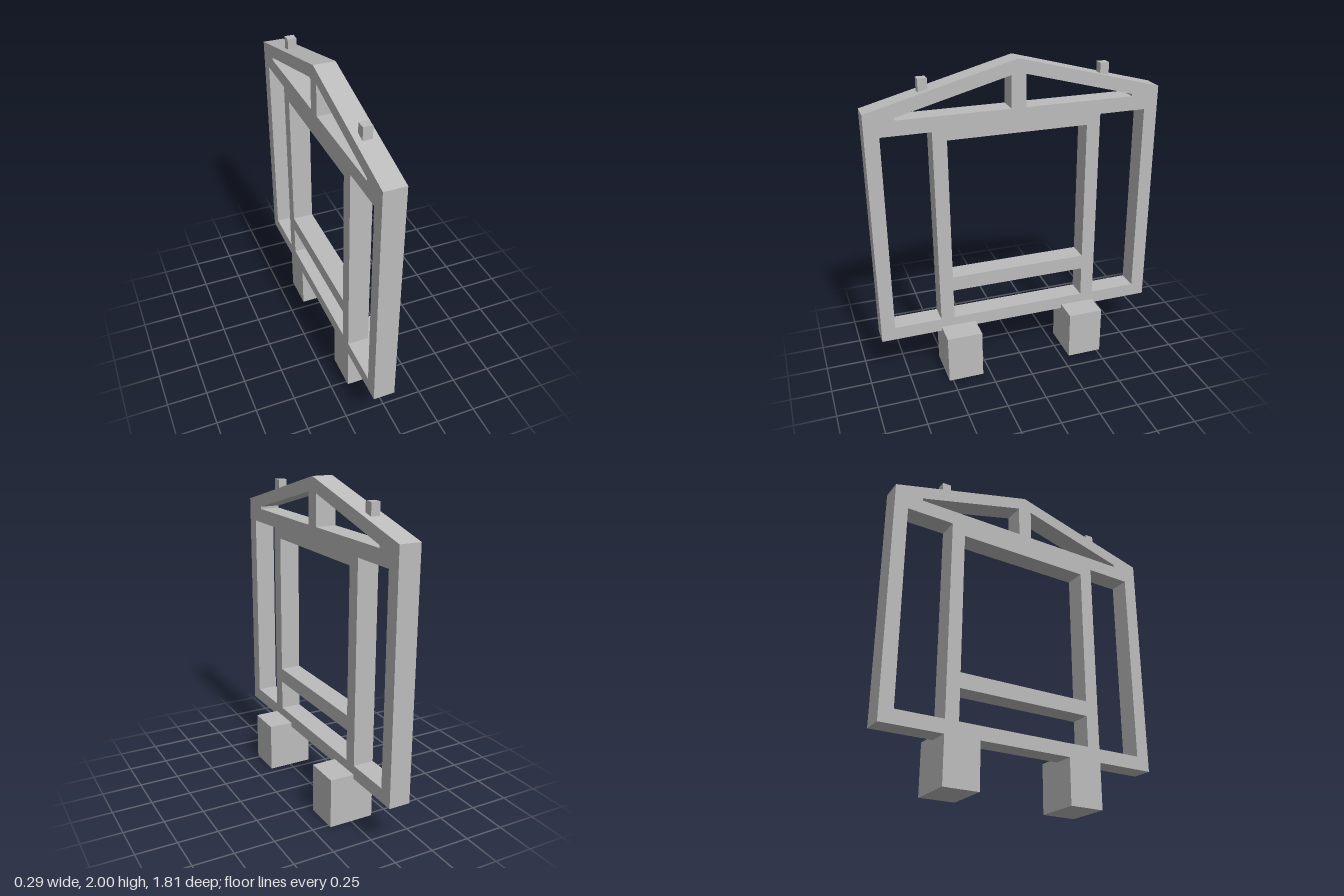
import * as THREE from 'three';

const BACK = -0.144, FACE = -0.012, TOE = 0.142; // x planes

const toPath = (PathType, pts) => {
  const p = new PathType();
  pts.forEach(([x, y], i) => (i ? p.lineTo(x, y) : p.moveTo(x, y)));
  p.closePath();
  return p;
};
const rect = (a, b, y0, y1) => [[a, y0], [b, y0], [b, y1], [a, y1]];

export function createModel() {
  const group = new THREE.Group();
  const grey = new THREE.MeshStandardMaterial({ color: 0xbcbcbc });
  grey.name = 'plain grey';
  const add = (name, geometry, x, y, z) => {
    const mesh = new THREE.Mesh(geometry, grey);
    mesh.name = name;
    mesh.position.set(x, y, z);
    group.add(mesh);
    return mesh;
  };

  // Gabled frame, drawn in the z-y plane with all its openings
  const outline = toPath(THREE.Shape, [
    [-0.907, 0.285], [0.907, 0.285], [0.907, 1.76], [0, 2], [-0.907, 1.76],
  ]);
  outline.holes.push(
    toPath(THREE.Path, rect(-0.437, 0.437, 0.66, 1.56)),  // main opening
    toPath(THREE.Path, rect(-0.437, 0.437, 0.37, 0.565)), // low opening
  );
  for (const s of [-1, 1]) {
    const gable = [[0.045, 1.71], [0.73, 1.71], [0.73, 1.725], [0.045, 1.907]];
    outline.holes.push(
      toPath(THREE.Path, rect(s * 0.523, s * 0.82, 0.37, 1.62)), // side openings
      toPath(THREE.Path, gable.map(([z, y]) => [s * z, y])),     // gable openings
    );
  }
  const frame = new THREE.ExtrudeGeometry(outline, { depth: FACE - BACK, bevelEnabled: false });
  frame.rotateY(-Math.PI / 2);
  add('frame', frame, FACE, 0, 0);

  // Feet, stepped to sit under the frame and rise in front of it
  const footProfile = toPath(THREE.Shape, [
    [BACK, 0], [TOE, 0], [TOE, 0.312], [FACE, 0.312], [FACE, 0.285], [BACK, 0.285],
  ]);
  const foot = new THREE.ExtrudeGeometry(footProfile, { depth: 0.224, bevelEnabled: false });
  foot.translate(0, 0, -0.112);

  // Small pegs on the roof slopes
  const peg = new THREE.BoxGeometry(0.056, 0.078, 0.056);
  for (const [side, s] of [['left', -1], ['right', 1]]) {
    add(`${side}Foot`, foot, 0, 0, s * 0.412);
    add(`${side}Peg`, peg, -0.078, 1.884, s * 0.555);
  }
  return group;
}
